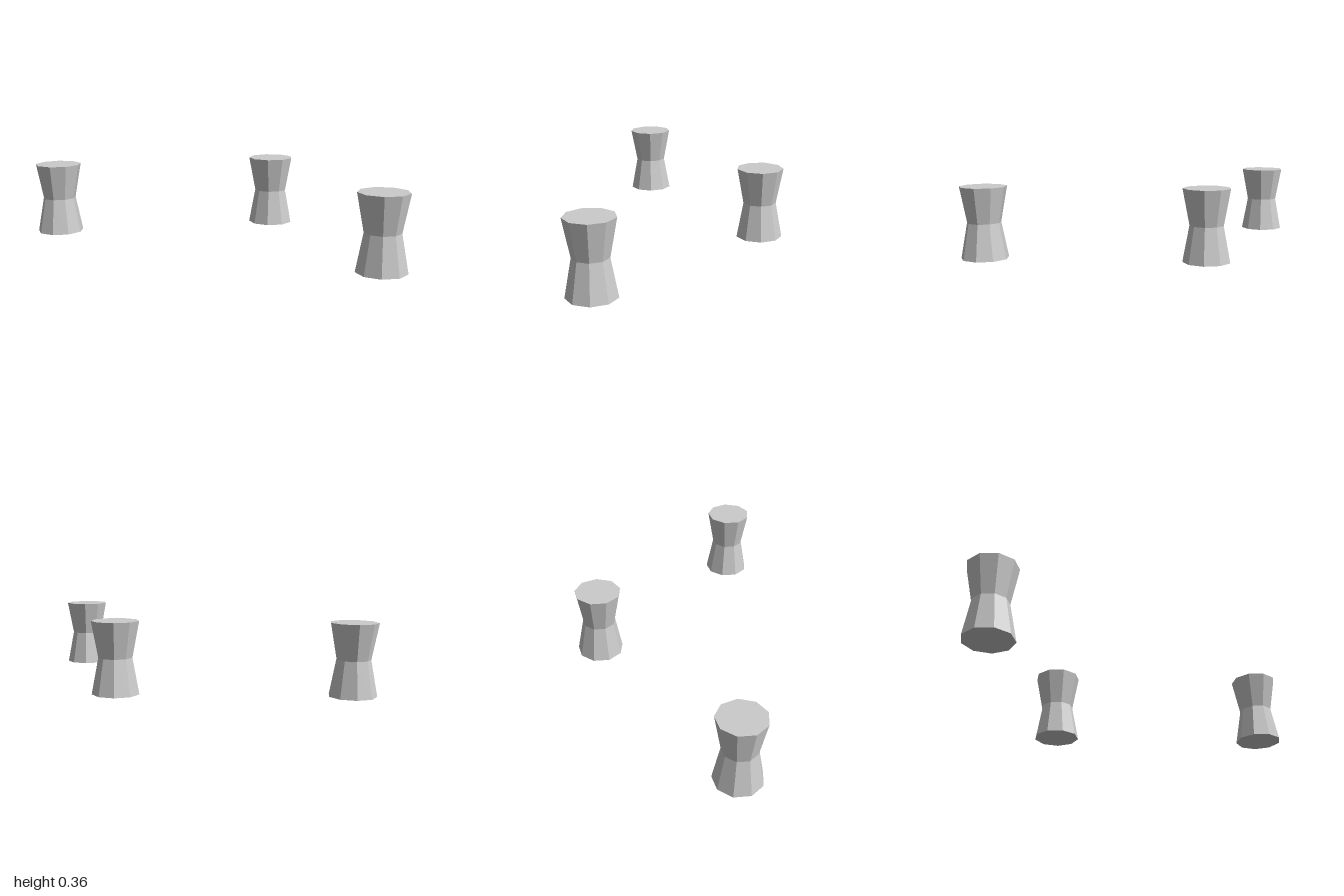
import * as THREE from 'three';

const SIDES = 9;
const HEIGHT = 0.358;
const RIM = 0.118;
const WAIST = 0.084;

// Closed nine-sided hourglass profile, one corner pointing to the back
function createStoolGeometry() {
  const profile = [
    [0, 0],
    [RIM, 0],
    [WAIST, HEIGHT / 2],
    [RIM, HEIGHT],
    [0, HEIGHT],
  ].map(([r, y]) => new THREE.Vector2(r, y));
  return new THREE.LatheGeometry(profile, SIDES, Math.PI);
}

export function createModel() {
  const model = new THREE.Group();
  model.name = 'stools';

  const material = new THREE.MeshStandardMaterial({ color: 0xcccccc, flatShading: true });
  const geometry = createStoolGeometry();

  // Three separate stools, each at a slightly different ground height
  const placements = [
    ['rightStool', -0.884, 0.002, 0.368],
    ['leftStool', 0.884, 0.005, 0.293],
    ['backStool', 0, 0.008, -0.362],
  ];
  for (const [name, x, y, z] of placements) {
    const stool = new THREE.Mesh(geometry, material);
    stool.name = name;
    stool.position.set(x, y, z);
    model.add(stool);
  }
  return model;
}
